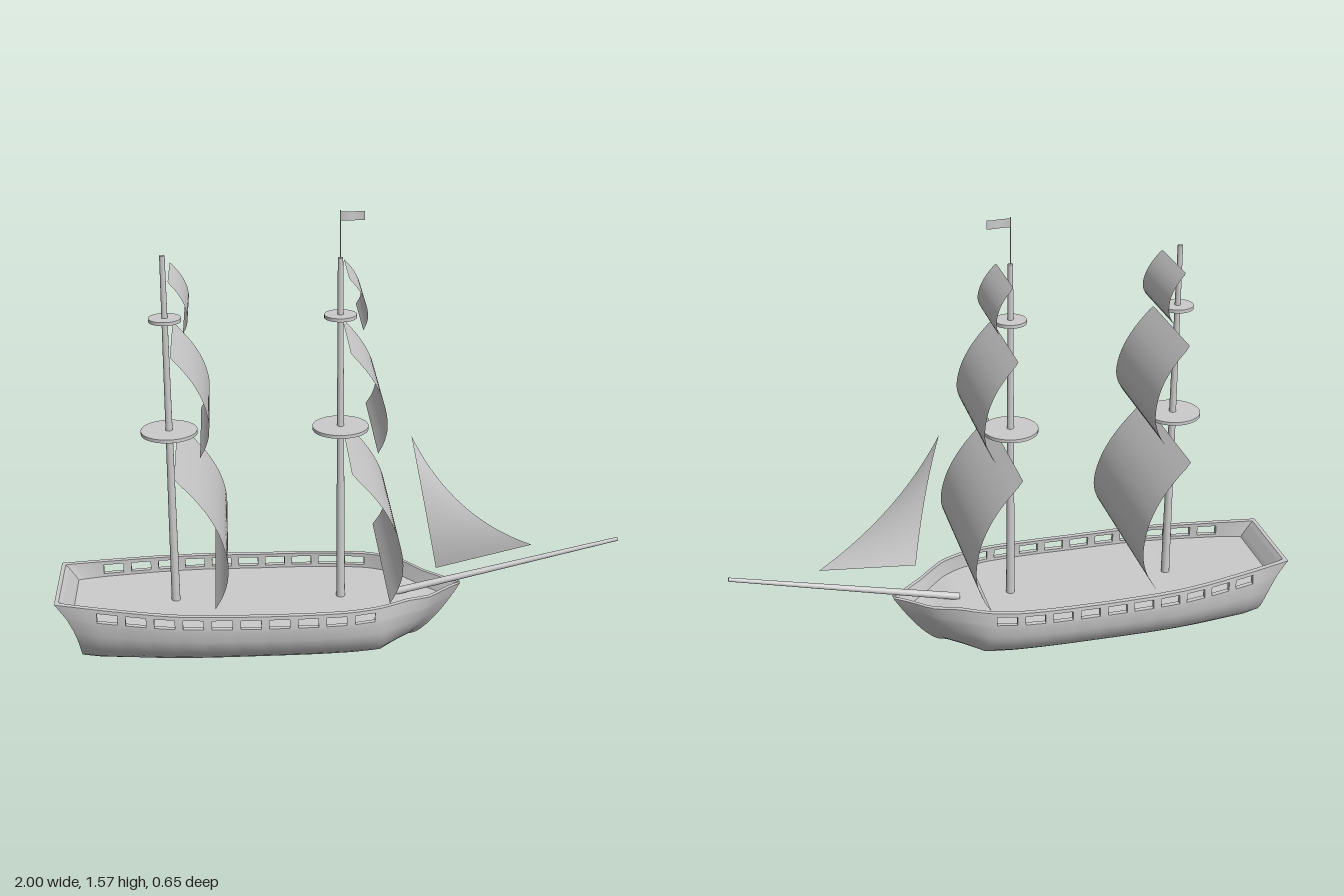
import * as THREE from 'three';

const mat = new THREE.MeshStandardMaterial({ color: 0xcccccc, side: THREE.DoubleSide });

function add(parent, name, geo) {
  const m = new THREE.Mesh(geo, mat);
  m.name = name;
  parent.add(m);
  return m;
}

// Surface over an (nu x nv) grid of cells; fn(i, j) returns [x, y, z], skip(i, j) leaves holes
function grid(nu, nv, fn, skip = () => false, flat = false) {
  const pos = [], idx = [];
  for (let i = 0; i <= nu; i++) for (let j = 0; j <= nv; j++) pos.push(...fn(i, j));
  for (let i = 0; i < nu; i++) for (let j = 0; j < nv; j++) {
    if (skip(i, j)) continue;
    const a = i * (nv + 1) + j, b = a + nv + 1;
    idx.push(a, a + 1, b, b, a + 1, b + 1);
  }
  let g = new THREE.BufferGeometry();
  g.setAttribute('position', new THREE.Float32BufferAttribute(pos, 3));
  g.setIndex(idx);
  if (flat) g = g.toNonIndexed();
  g.computeVertexNormals();
  return g;
}

const curve = (Type, xs, ys) => {
  const c = new Type(xs, ys, 1, [0]);
  return x => c.evaluate(x)[0];
};
const lerp = THREE.MathUtils.lerp;
const clamp01 = v => THREE.MathUtils.clamp(v, 0, 1);

// Hull lines: half beam and rail height along the length, section shape from keel to rail
const beam = curve(THREE.CubicInterpolant,
  [-1, -0.8, -0.58, -0.3, 0, 0.1, 0.2, 0.3, 0.38, 0.43],
  [0.168, 0.212, 0.25, 0.259, 0.252, 0.235, 0.192, 0.122, 0.05, 0.012]);
const rail = curve(THREE.LinearInterpolant,
  [-1, -0.8, -0.6, -0.3, 0, 0.22, 0.31, 0.43],
  [0.244, 0.234, 0.225, 0.219, 0.218, 0.222, 0.2, 0.2]);
const rows = [[0, 0], [0, 0.44], [0.03, 0.55], [0.09, 0.66], [0.18, 0.77], [0.29, 0.86], [0.42, 0.935],
  [0.56, 0.98], [0.74, 1], [0.79, 1], [0.94, 0.995], [1, 0.99]];
const top = rows.length - 1, deckRow = 8, winRow = 9;

// Stations: a pair of edges for each gun port, plus the ends
const stations = [-1, -0.96, -0.91];
const portColumns = new Set();
for (let i = 0; i < 10; i++) {
  const x = -0.853 + i * 0.0985;
  portColumns.add(stations.length);
  stations.push(x, x + 0.07);
}
for (let x = 0.13; x < 0.425; x += 0.025) stations.push(x);
stations.push(0.43);
const last = stations.length - 1;

function outer(i, r, side) {
  const X = stations[i], [t, f] = rows[r];
  const stern = clamp01((-0.853 - X) / 0.147), bow = clamp01((X - 0.13) / 0.3);
  const x = X + 0.08 * stern * (1 - t ** 2.6) - 0.17 * bow * (1 - t ** 0.7);
  return [x, rail(X) * t, side * beam(X) * f ** (1 + 1.5 * bow)];
}
function inner(i, r, side) {
  const [x, y, z] = outer(i, r, side);
  return [x + (i === 0 ? 0.014 : 0), y, side * Math.max(Math.abs(z) - 0.018, 0)];
}

function buildHull() {
  const hull = new THREE.Group();
  hull.name = 'hull';
  const isPort = (i, r) => portColumns.has(i) && r === winRow;

  // Outer planking runs from rail to keel to rail
  add(hull, 'planking', grid(last, 2 * top,
    (i, j) => outer(i, Math.abs(j - top), j < top ? -1 : 1),
    (i, j) => isPort(i, j < top ? top - 1 - j : j - top)));

  // End walls
  const across = (fn, i, from) => grid(top - from, 1,
    (r, j) => fn(i, r + from, j ? 1 : -1), undefined, true);
  add(hull, 'transom', across(outer, 0, 0));
  add(hull, 'transomLining', across(inner, 0, deckRow));
  add(hull, 'stem', across(outer, last, 0));
  add(hull, 'transomRail', grid(1, 1,
    (i, j) => (i ? inner : outer)(0, top, j ? 1 : -1)));
  add(hull, 'deck', grid(last, 1, (i, j) => inner(i, deckRow, j ? 1 : -1)));

  for (const side of [-1, 1]) {
    add(hull, 'bulwarkLining', grid(last, top - deckRow,
      (i, r) => inner(i, r + deckRow, side), (i, r) => isPort(i, r + deckRow)));
    add(hull, 'rail', grid(last, 1, (i, j) => (j ? inner : outer)(i, top, side)));
    // Thickness of each gun port
    for (const c of portColumns) {
      const ring = [[0, 0], [1, 0], [1, 1], [0, 1], [0, 0]];
      add(hull, 'gunPortFrame', grid(4, 1,
        (k, j) => (j ? inner : outer)(c + ring[k][0], winRow + ring[k][1], side), undefined, true));
    }
  }
  return hull;
}

// Square sail: a bellied profile swept across, wider at the foot
function squareSail(yTop, yFoot, wTop, wFoot, belly) {
  const profile = curve(THREE.CubicInterpolant, [0, 0.15, 0.3, 0.5, 0.75, 0.9, 1],
    [0, 0.36, 0.65, 0.9, 1, 0.89, 0.73]);
  return grid(24, 10, (i, j) => {
    const t = i / 24;
    const w = lerp(wTop, wFoot, t ** 1.6) - (i === 0 ? 0.006 : 0);
    return [0.02 + belly * profile(t), lerp(yTop, yFoot, t), w * (j / 5 - 1)];
  });
}

function buildMast(name, x, height) {
  const mast = new THREE.Group();
  mast.name = name;
  mast.position.x = x;
  const cylinder = (part, r0, r1, y0, y1, n) => {
    add(mast, part, new THREE.CylinderGeometry(r1, r0, y1 - y0, n)).position.y = (y0 + y1) / 2;
  };
  cylinder('pole', 0.0155, 0.009, 0.15, height, 20);
  cylinder('lowerPlatform', 0.097, 0.097, 0.803, 0.815, 40);
  cylinder('upperPlatform', 0.055, 0.055, 1.203, 1.215, 32);
  add(mast, 'courseSail', squareSail(0.74, 0.29, 0.265, 0.326, 0.17));
  add(mast, 'topsail', squareSail(1.14, 0.805, 0.197, 0.242, 0.12));
  add(mast, 'topgallantSail', squareSail(1.372, 1.205, 0.125, 0.151, 0.06));
  return mast;
}

export function createModel() {
  const ship = new THREE.Group();
  ship.name = 'sailingShip';
  ship.add(buildHull());
  ship.add(buildMast('mainMast', -0.588, 1.428));
  const fore = buildMast('foreMast', 0, 1.41);
  ship.add(fore);

  // Flagpole and gently waving flag
  add(fore, 'flagpole', new THREE.CylinderGeometry(0.002, 0.002, 0.18, 8)).position.y = 1.48;
  add(fore, 'flag', grid(8, 1, (i, j) =>
    [i * 0.01, 1.535 + j * 0.03, 0.003 * Math.sin(i * 0.75)]));

  // Bowsprit
  const a = new THREE.Vector3(0.19, 0.168, 0), b = new THREE.Vector3(0.998, 0.351, 0);
  const dir = b.clone().sub(a);
  const sprit = add(ship, 'bowsprit', new THREE.CylinderGeometry(0.007, 0.0135, dir.length(), 16));
  sprit.position.copy(a).add(b).multiplyScalar(0.5);
  sprit.quaternion.setFromUnitVectors(new THREE.Vector3(0, 1, 0), dir.normalize());

  // Jib stretched between a bowed trailing edge and a hollow leading edge
  const V = (x, y, z) => new THREE.Vector3(x, y, z);
  const leech = new THREE.QuadraticBezierCurve3(V(0.24, 0.79, 0.055), V(0.285, 0.54, 0.135), V(0.335, 0.285, 0.055));
  const luff = new THREE.QuadraticBezierCurve3(V(0.24, 0.79, 0.055), V(0.385, 0.49, 0.085), V(0.685, 0.34, 0.004));
  add(ship, 'jib', grid(20, 8, (i, j) =>
    leech.getPoint(i / 20).lerp(luff.getPoint(i / 20), j / 8).toArray()));

  return ship;
}
